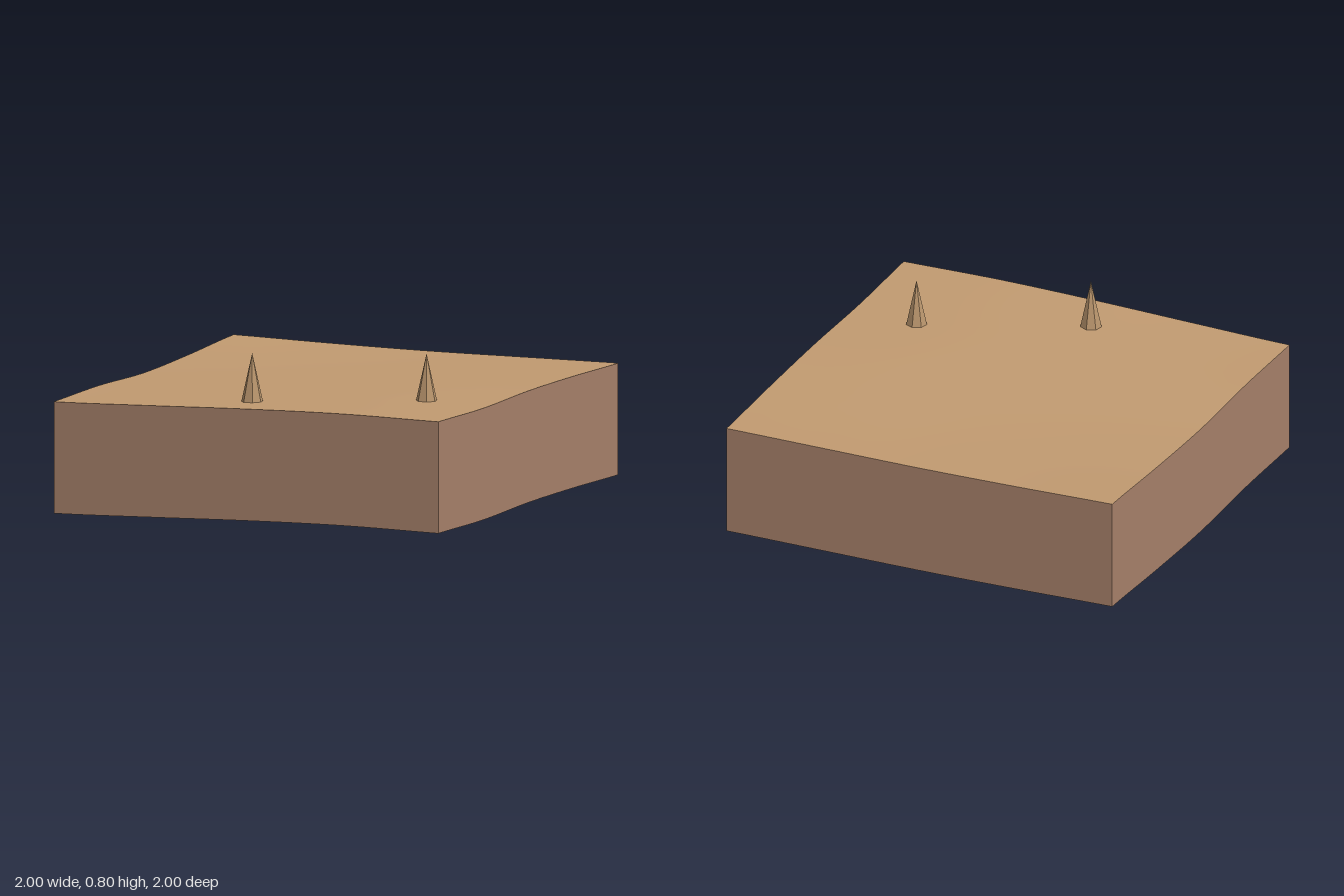
import * as THREE from 'three';

const DEPTH = 0.533;   // height of the side walls
const SEG = 24;

// Smooth height profile along one edge, sampled evenly from -1 to 1
function edgeProfile(heights) {
  const n = heights.length - 1;
  const at = (i) => heights[Math.min(n, Math.max(0, i))];
  return (t) => {
    const s = (t + 1) / 2 * n;
    const i = Math.min(n - 1, Math.floor(s));
    return THREE.MathUtils.clamp(s - i, 0, 1) === 0 ? at(i)
      : hermite(at(i - 1), at(i), at(i + 1), at(i + 2), s - i);
  };
}

function hermite(a, b, c, d, f) {
  const m0 = (c - a) / 2, m1 = (d - b) / 2;
  return b + m0 * f + (3 * (c - b) - 2 * m0 - m1) * f * f + (2 * (b - c) + m0 + m1) * f * f * f;
}

const front = edgeProfile([0.543, 0.559, 0.577, 0.588, 0.585]);        // along x at z = 1
const back = edgeProfile([0.568, 0.562, 0.56, 0.565, 0.57]);           // along x at z = -1
const left = edgeProfile([0.57, 0.581, 0.585, 0.576, 0.585]);          // along z at x = 1
const right = edgeProfile([0.568, 0.546, 0.533, 0.546, 0.543]);        // along z at x = -1

// Ground height blended from the four edges
function groundHeight(x, z) {
  const u = (x + 1) / 2, v = (z + 1) / 2;
  const corners = (1 - v) * ((1 - u) * back(-1) + u * back(1)) + v * ((1 - u) * front(-1) + u * front(1));
  return (1 - v) * back(x) + v * front(x) + (1 - u) * right(z) + u * left(z) - corners;
}

export function createModel() {
  const model = new THREE.Group();
  const sand = new THREE.MeshStandardMaterial({ name: 'sand', color: 0xc29b71, side: THREE.DoubleSide });
  const earth = new THREE.MeshStandardMaterial({ name: 'earth', color: 0xa8826b, side: THREE.DoubleSide });
  const stone = new THREE.MeshStandardMaterial({ name: 'stone', color: 0xb8946c, flatShading: true });

  const add = (name, geometry, material) => {
    const mesh = new THREE.Mesh(geometry, material);
    mesh.name = name;
    model.add(mesh);
    return mesh;
  };

  // Rolling ground surface
  const ground = new THREE.PlaneGeometry(2, 2, SEG, SEG).rotateX(-Math.PI / 2);
  const gp = ground.attributes.position;
  for (let i = 0; i < gp.count; i++) gp.setY(i, groundHeight(gp.getX(i), gp.getZ(i)));
  ground.computeVertexNormals();
  add('ground', ground, sand);

  // Four side walls following the ground edge, open underneath
  ['frontWall', 'leftWall', 'backWall', 'rightWall'].forEach((name, k) => {
    const wall = new THREE.PlaneGeometry(2, 1, SEG, 1).translate(0, 0, 1).rotateY(k * Math.PI / 2);
    const p = wall.attributes.position;
    for (let i = 0; i < p.count; i++) {
      const top = groundHeight(p.getX(i), p.getZ(i));
      p.setY(i, p.getY(i) > 0 ? top : top - DEPTH);
    }
    add(name, wall, earth);
  });

  // Pointed spikes standing on the ground
  [[-0.085, 0.75], [0.665, 0.415]].forEach(([x, z], i) => {
    const base = 0.565, tip = 0.802;
    const spike = add('spike' + (i + 1), new THREE.ConeGeometry(0.053, tip - base, 7), stone);
    spike.position.set(x, (base + tip) / 2, z);
    spike.rotation.y = Math.PI;
  });

  return model;
}
